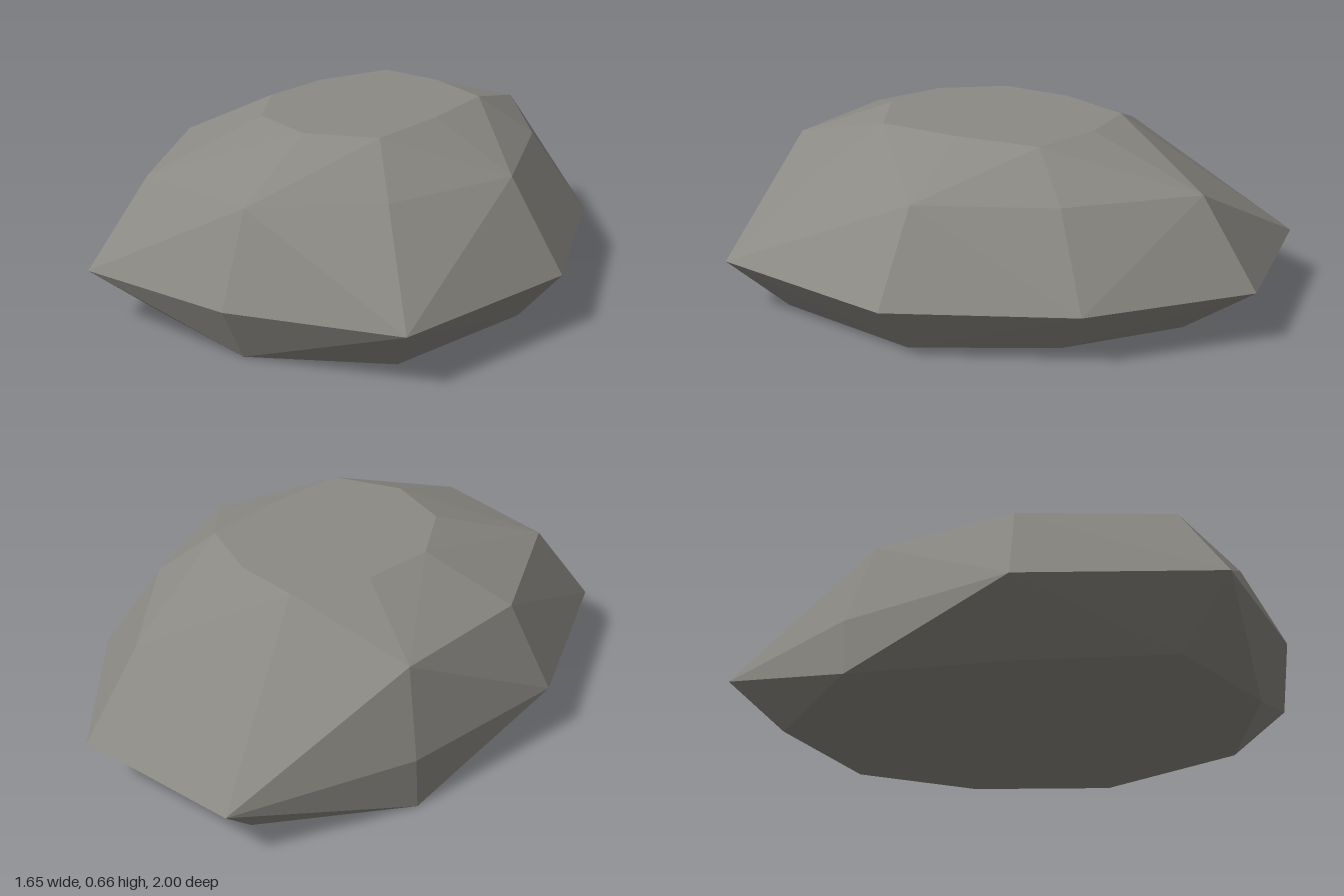
import * as THREE from 'three';
import { ConvexGeometry } from 'three/addons/geometries/ConvexGeometry.js';

// Four nine-sided cross-sections [x, z], from the ground up
const rings = [
  { y: 0, pts: [[-0.38, -0.77], [0.12, -0.73], [0.45, -0.39], [0.65, 0.1], [0.5, 0.66],
    [0.04, 0.89], [-0.44, 0.76], [-0.61, 0.25], [-0.74, -0.32]] },
  { y: 0.2, pts: [[-0.46, -0.97], [0.175, -1], [0.6, -0.52], [0.825, 0.12], [0.64, 0.83],
    [0.04, 0.995], [-0.565, 0.97], [-0.83, 0.32], [-0.735, -0.33]] },
  { y: 0.512, pts: [[-0.24, -0.57], [0.13, -0.785], [0.44, -0.38], [0.61, 0.1], [0.4, 0.56],
    [0.03, 0.85], [-0.45, 0.77], [-0.675, 0.27], [-0.645, -0.27]] },
  { y: 0.663, pts: [[-0.2, -0.37], [0.04, -0.35], [0.285, -0.24], [0.285, 0.07], [0.25, 0.38],
    [0, 0.475], [-0.24, 0.39], [-0.37, 0.16], [-0.335, -0.11]] },
];

export function createModel() {
  const stone = new THREE.MeshStandardMaterial({ color: 0x8c8a84 });
  stone.name = 'stoneGrey';
  stone.flatShading = true;

  // Faceted boulder wrapped tightly around the cross-sections
  const points = rings.flatMap(({ y, pts }) => pts.map(([x, z]) => new THREE.Vector3(x, y, z)));
  const boulder = new THREE.Mesh(new ConvexGeometry(points), stone);
  boulder.name = 'boulder';

  const group = new THREE.Group();
  group.name = 'rock';
  group.add(boulder);
  return group;
}
